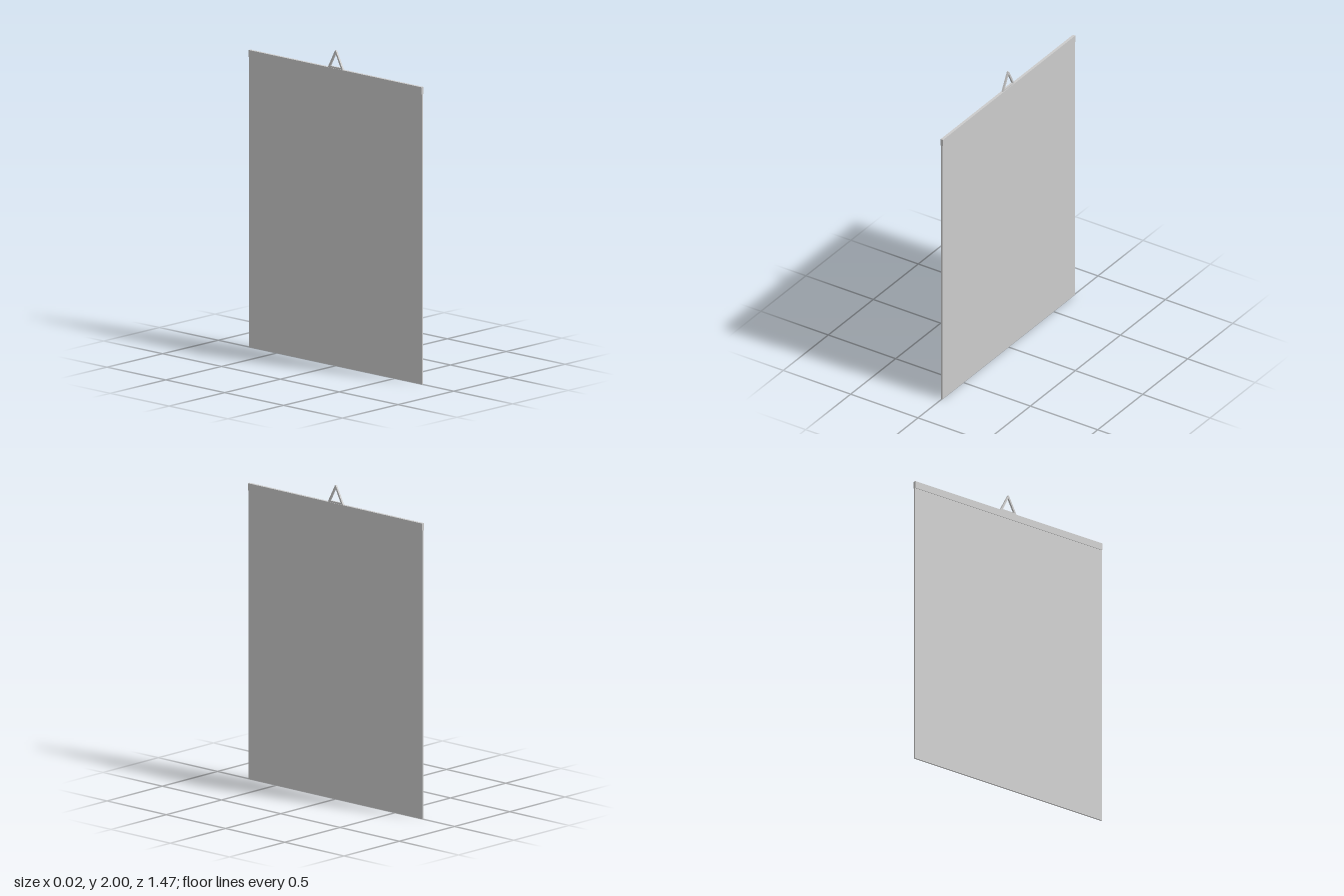
import * as THREE from 'three';

const WIDTH = 1.47; // along z
const TOP = 1.885; // top of the binding strip

export function createModel() {
  const group = new THREE.Group();
  const material = new THREE.MeshStandardMaterial({ color: 0xcccccc, flatShading: true });

  const add = (name, geometry, y) => {
    const mesh = new THREE.Mesh(geometry, material);
    mesh.name = name;
    mesh.position.y = y;
    group.add(mesh);
  };

  // Thin hanging sheet
  const sheetHeight = 1.85;
  add('sheet', new THREE.BoxGeometry(0.009, sheetHeight, WIDTH), sheetHeight / 2);

  // Thicker binding strip along the top edge
  const stripHeight = 0.045;
  add('bindingStrip', new THREE.BoxGeometry(0.018, stripHeight, WIDTH), TOP - stripHeight / 2);

  // Triangular hanger with an open middle and a blunt tip
  const outline = [[-0.064, 0], [0.064, 0], [0.003, 0.115], [-0.003, 0.115]];
  const opening = [[-0.045, 0.01], [0, 0.097], [0.045, 0.01]];
  const toPoints = (list) => list.map(([x, y]) => new THREE.Vector2(x, y));
  const shape = new THREE.Shape(toPoints(outline));
  shape.holes.push(new THREE.Path(toPoints(opening)));
  const depth = 0.012;
  const hanger = new THREE.ExtrudeGeometry(shape, { depth, bevelEnabled: false });
  hanger.translate(0, 0, -depth / 2).rotateY(-Math.PI / 2);
  add('hanger', hanger, TOP);

  return group;
}
